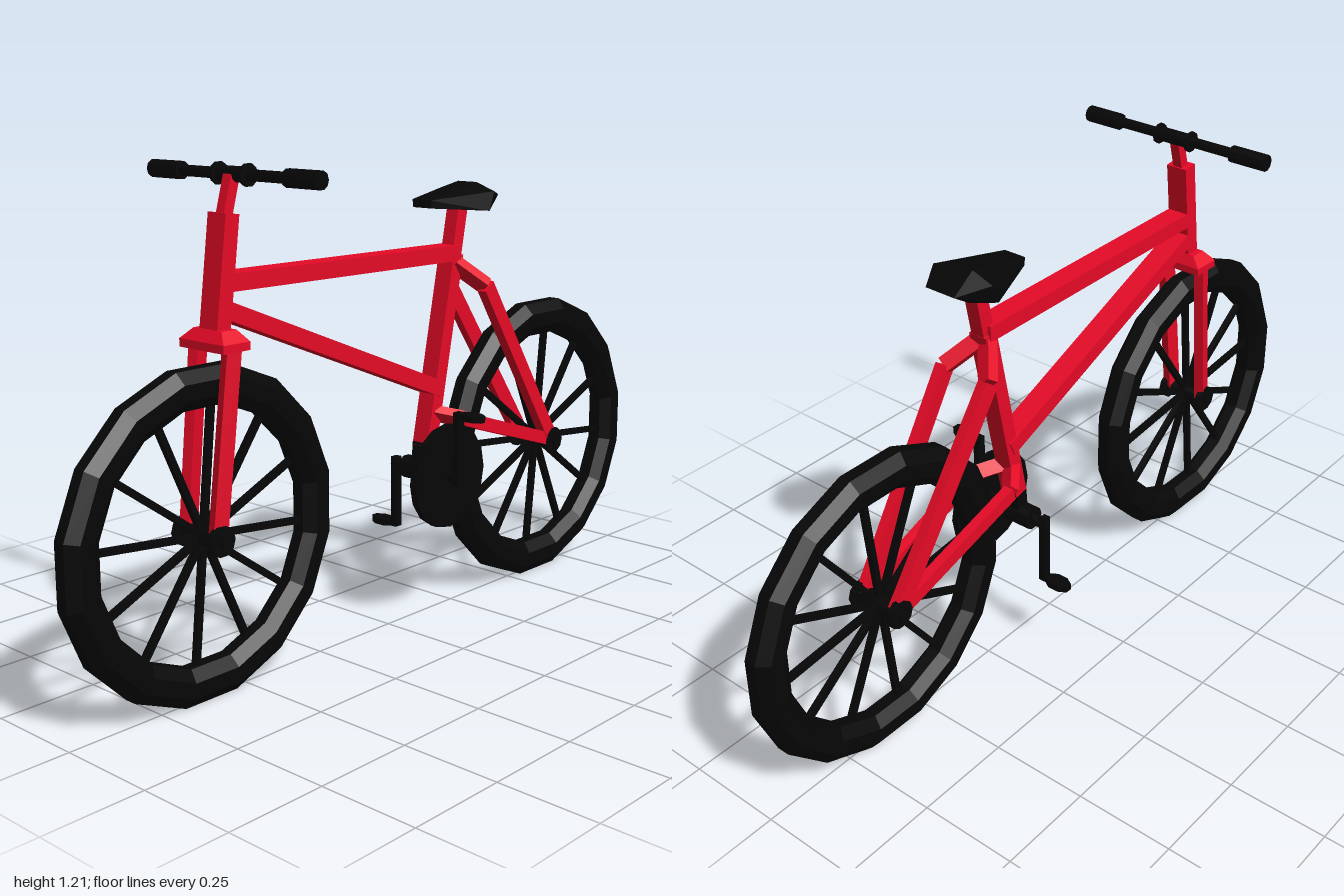
import * as THREE from 'three';
import { ConvexGeometry } from 'three/addons/geometries/ConvexGeometry.js';

const red = new THREE.MeshStandardMaterial({ color: 0xe60a26, flatShading: true });
const black = new THREE.MeshStandardMaterial({ color: 0x060606, flatShading: true });
const V = (x, y, z) => new THREE.Vector3(x, y, z);
const UP = V(0, 1, 0);
const AXLE_Y = 0.3865, AXLE_Z = 0.6152, CRANK_Z = -0.135;

function add(parent, name, geometry, material) {
  const mesh = new THREE.Mesh(geometry, material);
  mesh.name = name;
  parent.add(mesh);
  return mesh;
}

// Straight square-edged tube from a to b; rx and rz are its half width and half depth
function tube(parent, name, a, b, rx, rz = rx, material = red, sides = 4) {
  const k = 1 / Math.cos(Math.PI / sides);
  const g = new THREE.CylinderGeometry(k, k, a.distanceTo(b), sides);
  g.rotateY(Math.PI / sides).scale(rx, 1, rz);
  const mesh = add(parent, name, g, material);
  mesh.position.copy(a).lerp(b, 0.5);
  mesh.quaternion.setFromUnitVectors(UP, b.clone().sub(a).normalize());
  return mesh;
}

// Cylinder lying across the bike between x0 and x1
function cross(parent, name, x0, x1, y, z, r, sides = 10) {
  const g = new THREE.CylinderGeometry(r, r, Math.abs(x1 - x0), sides).rotateZ(Math.PI / 2);
  const mesh = add(parent, name, g, black);
  mesh.position.set((x0 + x1) / 2, y, z);
  return mesh;
}

function makeWheel(name, z) {
  const wheel = new THREE.Group();
  wheel.name = name;
  wheel.position.set(0, AXLE_Y, z);

  // Tyre: an octagonal section swept round 16 sides
  const profile = [];
  const k = 1 / Math.cos(Math.PI / 8);
  for (let i = 0; i <= 8; i++) {
    const a = (i + 0.5) * Math.PI / 4;
    profile.push(new THREE.Vector2(0.3475 + 0.0455 * k * Math.cos(a), 0.038 * k * Math.sin(a)));
  }
  const tyre = new THREE.LatheGeometry(profile, 16);
  tyre.rotateY(Math.PI / 16).rotateZ(Math.PI / 2);
  add(wheel, 'tyre', tyre, black);

  // Spokes
  for (let i = 0; i < 12; i++) {
    const a = i * Math.PI / 6 + 0.105;
    const dir = V(0, Math.cos(a), -Math.sin(a));
    tube(wheel, 'spoke', dir.clone().multiplyScalar(0.02), dir.clone().multiplyScalar(0.315),
      0.0075, 0.0075, black);
  }

  // Hub with end caps and axle nuts
  cross(wheel, 'hub', -0.06, 0.06, 0, 0, 0.022);
  for (const s of [-1, 1]) {
    cross(wheel, 'hubCap', s * 0.052, s * 0.068, 0, 0, 0.036);
    cross(wheel, 'axleNut', s * 0.068, s * 0.078, 0, 0, 0.015, 6);
  }
  return wheel;
}

function makeFrame() {
  const frame = new THREE.Group();
  frame.name = 'frame';
  tube(frame, 'headTube', V(0, 0.83, 0.567), V(0, 1.10, 0.532), 0.029, 0.02);
  tube(frame, 'topTube', V(0, 0.95, 0.55), V(0, 0.943, -0.245), 0.029, 0.02);
  tube(frame, 'downTube', V(0, 0.895, 0.56), V(0, 0.598, -0.175), 0.029, 0.02);
  tube(frame, 'seatTube', V(0, 0.45, -0.14), V(0, 0.94, -0.24), 0.025, 0.019);
  tube(frame, 'seatPost', V(0, 0.92, -0.236), V(0, 1.08, -0.268), 0.019, 0.018);

  // Rear stays, splayed round the tyre
  for (const s of [-1, 1]) {
    const end = V(s * 0.052, AXLE_Y, -AXLE_Z);
    const shoulder = V(s * 0.066, 0.855, -0.30);
    const elbow = V(s * 0.062, 0.515, -0.225);
    tube(frame, 'seatStayTop', V(s * 0.012, 0.915, -0.238), shoulder, 0.014, 0.019);
    tube(frame, 'seatStay', shoulder, end, 0.013, 0.021);
    tube(frame, 'chainStayFront', V(s * 0.01, 0.535, -0.16), elbow, 0.013, 0.018);
    tube(frame, 'chainStay', elbow, end, 0.013, 0.017);
  }
  return frame;
}

function makeFork() {
  const fork = new THREE.Group();
  fork.name = 'fork';
  // Crown: a bevelled block
  const points = [];
  for (const s of [-1, 1]) for (const t of [-1, 1]) {
    points.push(V(s * 0.073, 0.806, 0.567 + t * 0.039), V(s * 0.073, 0.825, 0.567 + t * 0.039),
      V(s * 0.046, 0.85, 0.565 + t * 0.022));
  }
  add(fork, 'forkCrown', new ConvexGeometry(points), red);
  for (const s of [-1, 1]) {
    tube(fork, 'forkLeg', V(s * 0.056, 0.82, 0.566), V(s * 0.05, AXLE_Y, AXLE_Z), 0.013, 0.018);
  }
  return fork;
}

function makeHandlebar() {
  const bar = new THREE.Group();
  bar.name = 'handlebar';
  tube(bar, 'stem', V(0, 1.08, 0.535), V(0, 1.18, 0.507), 0.013);
  cross(bar, 'crossbar', -0.2, 0.2, 1.182, 0.501, 0.013);
  for (const s of [-1, 1]) {
    cross(bar, 'grip', s * 0.17, s * 0.27, 1.182, 0.501, 0.021);
    cross(bar, 'clampRing', s * 0.043, s * 0.051, 1.182, 0.501, 0.026);
  }
  cross(bar, 'clamp', -0.045, 0.045, 1.182, 0.501, 0.018);
  return bar;
}

function makeSaddle() {
  // Half width, height and z of each corner pair
  const corners = [
    [0.03, 1.085, -0.112], [0.03, 1.065, -0.115],
    [0.03, 1.12, -0.29], [0.088, 1.1, -0.29], [0.088, 1.052, -0.272],
    [0.042, 1.085, -0.365], [0.042, 1.055, -0.318],
  ];
  const points = corners.flatMap(([x, y, z]) => [V(0.01 + x, y, z), V(0.01 - x, y, z)]);
  const saddle = new THREE.Mesh(new ConvexGeometry(points), black);
  saddle.name = 'saddle';
  return saddle;
}

function makeCrankset() {
  const set = new THREE.Group();
  set.name = 'crankset';
  cross(set, 'chainring', 0.073, 0.092, AXLE_Y, CRANK_Z, 0.135, 16);
  cross(set, 'bottomBracket', -0.06, 0.08, AXLE_Y, CRANK_Z, 0.03);
  cross(set, 'crankAxle', -0.1, 0.122, AXLE_Y, CRANK_Z, 0.015);
  tube(set, 'bracketShell', V(0, AXLE_Y, CRANK_Z), V(0, 0.46, -0.141), 0.025, 0.019, black);
  // Arms point opposite ways; the one on the chainring side points up
  for (const [s, x] of [[1, 0.117], [-1, 0.094]]) {
    const y = AXLE_Y + s * 0.164;
    const arm = add(set, 'crankArm', new THREE.BoxGeometry(0.018, 0.19, 0.022), black);
    arm.position.set(s * x, AXLE_Y + s * 0.076, CRANK_Z);
    cross(set, 'pedalAxle', s * x, s * (x + 0.04), y, CRANK_Z, 0.009, 6);
    const pedal = new THREE.CylinderGeometry(0.03, 0.03, 0.017, 8).rotateY(Math.PI / 8);
    pedal.scale(1.25, 1, 0.75);
    add(set, 'pedal', pedal, black).position.set(s * (x + 0.044), y, CRANK_Z);
  }
  return set;
}

export function createModel() {
  const bike = new THREE.Group();
  bike.name = 'bicycle';
  bike.add(makeWheel('frontWheel', AXLE_Z), makeWheel('rearWheel', -AXLE_Z),
    makeFrame(), makeFork(), makeHandlebar(), makeSaddle(), makeCrankset());
  return bike;
}
